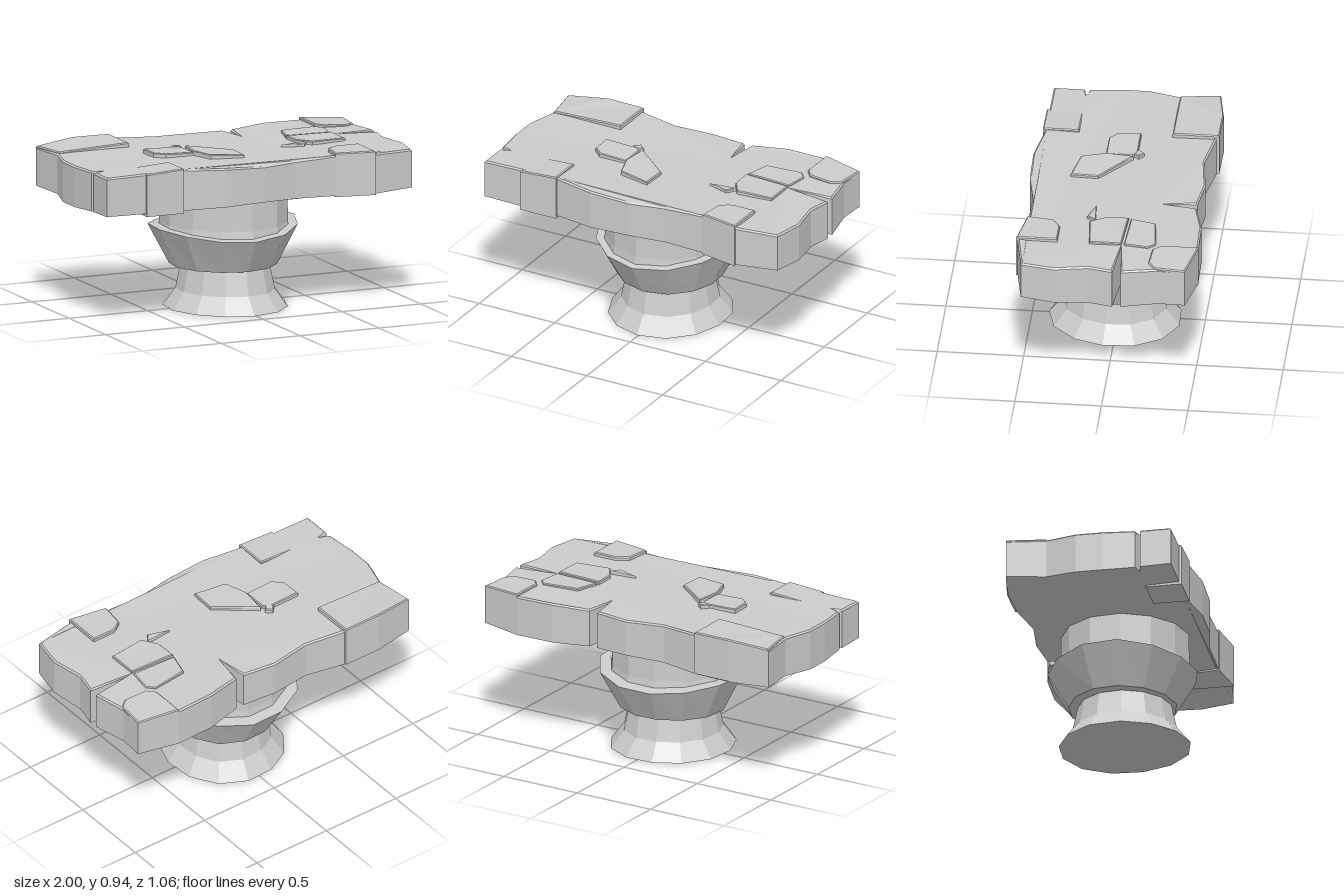
import * as THREE from 'three';

const stone = new THREE.MeshStandardMaterial({ color: 0xcccccc, flatShading: true, side: THREE.DoubleSide });

// Linear interpolation through [x, y] stations
function profile(stations, x) {
  for (let i = 1; i < stations.length; i++) {
    const [x0, y0] = stations[i - 1], [x1, y1] = stations[i];
    if (x <= x1) return y0 + (y1 - y0) * Math.max(0, (x - x0) / (x1 - x0));
  }
  return stations[stations.length - 1][1];
}
// Gentle waves of the slab's upper and lower faces
const topY = x => profile([[-1, 0.91], [-0.5, 0.92], [-0.25, 0.912], [0, 0.902], [0.25, 0.907], [0.5, 0.917], [1, 0.907]], x);
const bottomY = (x, z) => profile([[-1, 0.685], [-0.6, 0.675], [0, 0.69], [0.6, 0.675], [1, 0.685]], x) - 0.02 * Math.max(0, 1 - Math.abs(z) / 0.4);

// Prism over an (x, z) outline; top(x, z) and bottom(x, z) give its heights
function prism(name, outline, bottom, top, bevel) {
  const shape = new THREE.Shape(outline.map(([x, z]) => new THREE.Vector2(x, -z)));
  const geo = new THREE.ExtrudeGeometry(shape, {
    depth: 1, bevelEnabled: true, bevelSegments: 1,
    bevelSize: bevel, bevelOffset: -bevel, bevelThickness: bevel,
  });
  geo.rotateX(-Math.PI / 2);
  const p = geo.attributes.position;
  for (let i = 0; i < p.count; i++) {
    const x = p.getX(i), y = p.getY(i), z = p.getZ(i);
    // cap vertices reach the full height, wall vertices stop one bevel short
    const h = y > 0.5 ? top(x, z) + (y - 1 - bevel) : bottom(x, z) + Math.max(0, y) * bevel;
    p.setY(i, h);
  }
  geo.computeVertexNormals();
  const mesh = new THREE.Mesh(geo, stone);
  mesh.name = name;
  return mesh;
}

export function createModel() {
  const model = new THREE.Group();
  model.name = 'stoneTable';

  // Weathered slab with cracks in the back edge and both ends
  const outline = [
    [-0.98, -0.49], [-0.73, -0.525], [-0.5, -0.515], [-0.25, -0.47], [-0.01, -0.5], [0.2, -0.475],
    [0.226, -0.28], [0.25, -0.475], [0.47, -0.525], [0.71, -0.53], [0.96, -0.475], [0.95, -0.32],
    [0.99, -0.11], [0.72, -0.085], [0.99, -0.06], [0.96, 0.08], [0.995, 0.28], [0.96, 0.47],
    [0.7, 0.515], [0.47, 0.475], [0.22, 0.475], [0, 0.515], [-0.25, 0.52], [-0.5, 0.475],
    [-0.98, 0.475], [-0.98, 0.295], [-0.92, 0.283], [-0.98, 0.265], [-1, 0.08], [-1, -0.08], [-0.95, -0.26],
  ];
  model.add(prism('slab', outline, bottomY, topY, 0.009));

  // Full-height blocks standing slightly proud of the slab
  const blocks = {
    backLeftBlock: [[[-0.977, -0.492], [-0.73, -0.532], [-0.497, -0.53], [-0.497, -0.26], [-0.94, -0.26]], 0.685, x => profile([[-1, 0.915], [-0.73, 0.94], [-0.5, 0.938]], x)],
    frontLeftBlock: [[[-0.733, 0.28], [-0.497, 0.28], [-0.497, 0.49], [-0.733, 0.49]], 0.665, x => 0.922 + (x + 0.6) * 0.06],
    frontRightBlock: [[[0.53, 0.3], [0.56, 0.285], [0.705, 0.285], [0.705, 0.522], [0.47, 0.48], [0.49, 0.33]], 0.672, () => 0.93],
    backRightBlock: [[[0.71, -0.533], [0.963, -0.477], [0.945, -0.3], [0.89, -0.26], [0.75, -0.27], [0.71, -0.32]], 0.685, x => 0.928 - (x - 0.71) * 0.05],
  };
  for (const [name, [shape, low, top]] of Object.entries(blocks)) {
    model.add(prism(name, shape, () => low, top, 0.006));
  }

  // Thin broken flakes lying on top: outline and rise above the slab
  const flakes = [
    [[[-0.49, -0.08], [-0.28, -0.08], [-0.255, -0.05], [-0.255, 0.1], [-0.43, 0.1], [-0.485, 0.05]], 0.016],
    [[[-0.235, -0.06], [-0.01, 0.12], [-0.015, 0.28], [-0.21, 0.24], [-0.255, 0.1]], 0.025],
    [[[-0.28, -0.12], [-0.245, -0.09], [-0.27, -0.06], [-0.315, -0.085]], 0.02],
    [[[0.425, -0.1], [0.71, -0.085], [0.71, 0.1], [0.49, 0.12], [0.43, 0.03]], 0.013],
    [[[0.3, 0.1], [0.47, 0.085], [0.43, 0.14]], 0.012],
    [[[0.47, -0.26], [0.69, -0.285], [0.73, -0.24], [0.71, -0.1], [0.43, -0.115]], 0.009],
  ];
  for (const [shape, rise] of flakes) {
    model.add(prism('surfaceFlake', shape, () => 0.88, x => topY(x) + rise, 0.005));
  }

  // Pedestal pieces: faceted lathes, nudged off-centre and made uneven
  function turned(name, points, cx, cz, sx, liftRim) {
    const geo = new THREE.LatheGeometry(points.map(q => new THREE.Vector2(...q)), 13);
    const p = geo.attributes.position;
    for (let i = 0; i < p.count; i++) {
      const a = Math.atan2(p.getX(i), p.getZ(i));
      const wobble = 1 + 0.018 * Math.sin(3 * a + 0.7);
      const x = p.getX(i) * sx * wobble + cx, y = p.getY(i);
      p.setXYZ(i, x, y + (liftRim && y > 0.4 ? 0.25 * x * x + 0.03 * x : 0), p.getZ(i) * wobble + cz);
    }
    geo.computeVertexNormals();
    const mesh = new THREE.Mesh(geo, stone);
    mesh.name = name;
    model.add(mesh);
  }
  turned('foot', [[0, 0], [0.385, 0], [0.305, 0.1], [0.27, 0.26]], -0.01, 0.015, 0.93, false);
  turned('collar', [[0, 0.245], [0.315, 0.245], [0.437, 0.445], [0.37, 0.46]], -0.018, 0.005, 0.99, true);
  turned('column', [[0.385, 0.43], [0.375, 0.5], [0.372, 0.7]], -0.02, 0.02, 0.99, false);

  return model;
}
